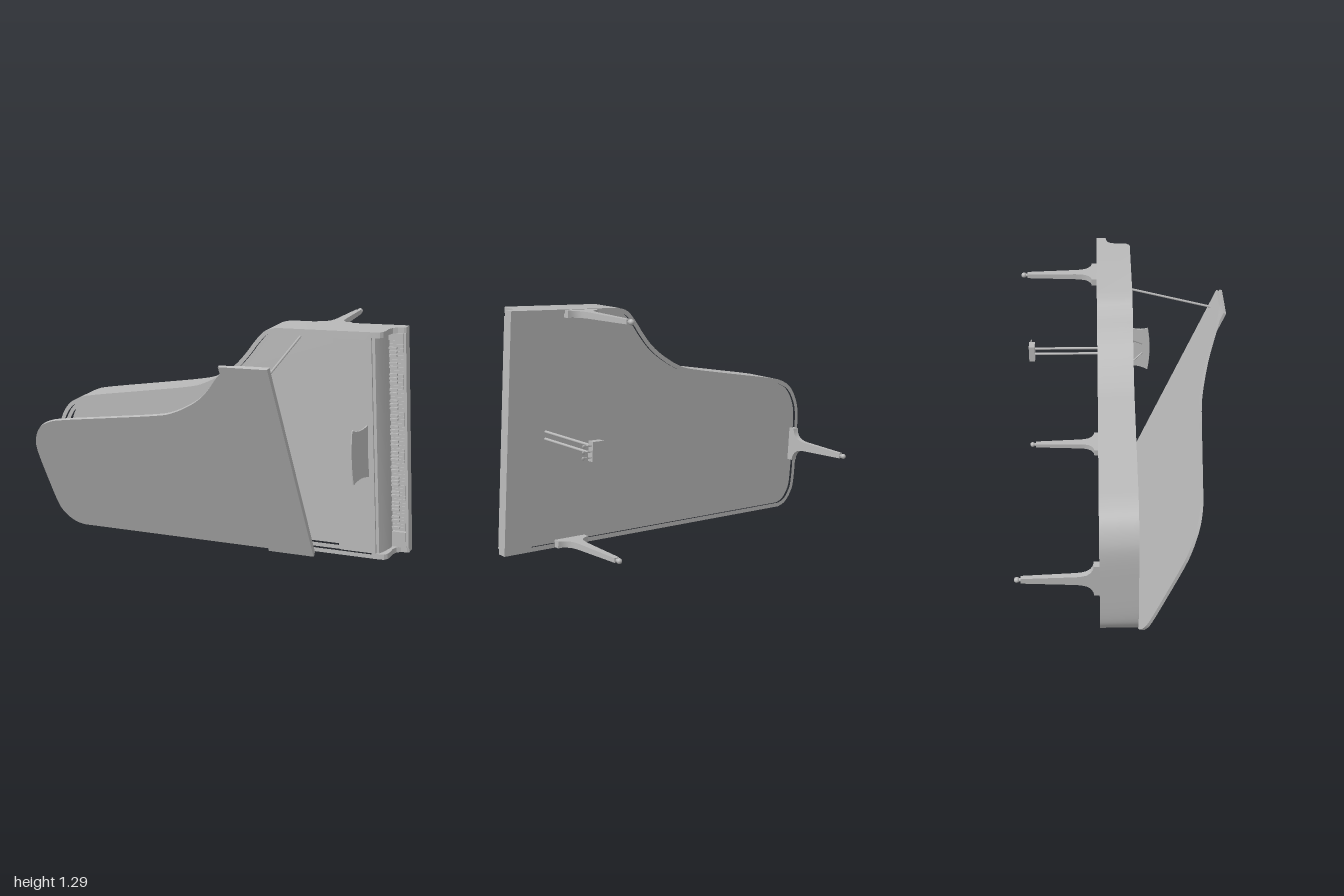
import * as THREE from 'three';
import { toCreasedNormals } from 'three/addons/utils/BufferGeometryUtils.js';

const V2 = (x, y) => new THREE.Vector2(x, y);
const pts = (list) => list.map(([x, y]) => V2(x, y));

// Tail and bent side of the case; x runs to the keyboard, y to the treble side
const TAIL = pts([[-0.85, 0.073], [-0.9, 0.092], [-0.94, 0.14], [-0.962, 0.21], [-0.965, 0.4], [-0.961, 0.59], [-0.938, 0.68],
  [-0.885, 0.756], [-0.813, 0.797], [-0.721, 0.818], [-0.43, 0.859], [-0.146, 0.9], [-0.044, 0.926], [0.06, 0.978],
  [0.143, 1.035], [0.207, 1.1], [0.262, 1.166], [0.315, 1.216], [0.376, 1.234]]);

function outline(uEnd) {
  return [V2(uEnd, 0.073), ...new THREE.SplineCurve(TAIL).getPoints(72), V2(uEnd, 1.234)];
}

// Moves a closed outline inwards by d with mitred corners
function inset(loop, d) {
  const n = loop.length;
  return loop.map((p, i) => {
    const a = p.clone().sub(loop[(i + n - 1) % n]).normalize();
    const b = loop[(i + 1) % n].clone().sub(p).normalize();
    const na = V2(a.y, -a.x), nb = V2(b.y, -b.x);
    const m = na.clone().add(nb).normalize();
    return p.clone().addScaledVector(m, d / Math.max(0.4, m.dot(na)));
  });
}

function slab(loop, z0, z1, hole) {
  const shape = new THREE.Shape(loop);
  if (hole) shape.holes.push(new THREE.Path(hole));
  const g = new THREE.ExtrudeGeometry(shape, { depth: z1 - z0, bevelEnabled: false });
  g.translate(0, 0, z0);
  return toCreasedNormals(g, 0.5);
}

// Side profile (x, z) swept across the width from v0 to v1
function sweep(profile, v0, v1) {
  const g = new THREE.ExtrudeGeometry(new THREE.Shape(pts(profile)), { depth: v1 - v0, bevelEnabled: false });
  g.rotateX(Math.PI / 2).translate(0, v1, 0);
  return toCreasedNormals(g, 0.5);
}

function box(x0, x1, y0, y1, z0, z1) {
  return new THREE.BoxGeometry(x1 - x0, y1 - y0, z1 - z0).translate((x0 + x1) / 2, (y0 + y1) / 2, (z0 + z1) / 2);
}

function rod(a, b, r) {
  const path = new THREE.LineCurve3(new THREE.Vector3(...a), new THREE.Vector3(...b));
  const g = new THREE.CylinderGeometry(r, r, path.getLength(), 10);
  const q = new THREE.Quaternion().setFromUnitVectors(new THREE.Vector3(0, 1, 0), path.getTangent(0));
  const c = path.getPoint(0.5);
  return g.applyQuaternion(q).translate(c.x, c.y, c.z);
}

export function createModel() {
  const grey = new THREE.MeshStandardMaterial({ color: 0xb8b8b8 });
  grey.name = 'grey';
  const model = new THREE.Group();
  model.name = 'grandPiano';
  const piano = new THREE.Group();
  piano.name = 'pianoOnItsSide';
  piano.rotation.z = 0.061;
  model.add(piano);
  const add = (name, geometry, parent = piano) => {
    const mesh = new THREE.Mesh(geometry, grey);
    mesh.name = name;
    parent.add(mesh);
    return mesh;
  };

  // Case: rim, inner ledge, plate, underside and the deck behind the keys
  const rim = outline(0.87);
  add('rim', slab(rim, -0.14, 0.044, inset(rim, 0.022)));
  add('rimLedge', slab(inset(rim, 0.021), -0.06, 0.022, inset(rim, 0.042)));
  add('ironPlate', slab(inset(rim, 0.02), -0.06, -0.05));
  add('underside', slab(inset(rim, 0.02), -0.125, -0.115));
  add('deck', box(0.675, 0.86, 0.09, 1.22, -0.055, 0.018));
  add('deckLip', box(0.66, 0.676, 0.09, 1.22, -0.055, 0.006));

  // Arms at both ends of the keyboard
  const arm = [[0.86, -0.14], [1, -0.14], [1, -0.093], [0.99, -0.086], [0.96, -0.084], [0.94, -0.07], [0.93, -0.04],
    [0.93, 0], [0.925, 0.025], [0.912, 0.04], [0.895, 0.044], [0.86, 0.044]];
  for (const v of [0.073, 1.206]) add('arm', sweep(arm, v, v + 0.028));

  // Keyboard
  add('keyBed', box(0.865, 1, 0.1, 1.207, -0.14, -0.108));
  add('keySlip', box(0.986, 1, 0.1, 1.207, -0.11, -0.085));
  add('fallboard', sweep([[0.865, -0.11], [0.915, -0.11], [0.915, -0.06], [0.9, 0], [0.885, 0.034], [0.865, 0.034]], 0.1, 1.207));
  add('keyBlock', box(0.91, 0.987, 0.1, 0.182, -0.11, -0.078));
  add('keyBlock', box(0.91, 0.987, 1.172, 1.207, -0.11, -0.078));
  const step = 0.985 / 52;
  for (let i = 0; i < 52; i++) {
    const v = 0.185 + i * step;
    add('whiteKey', box(0.91, 0.984, v + 0.0008, v + step - 0.0008, -0.11, -0.088));
    if (i < 51 && [0, 2, 3, 5, 6].includes(i % 7)) {
      add('blackKey', box(0.91, 0.955, v + step - 0.005, v + step + 0.005, -0.09, -0.076));
    }
  }

  // Open lid with its front flap folded back on top
  const lid = new THREE.Group();
  lid.name = 'lid';
  lid.position.set(0, 0.073, 0.042);
  lid.rotation.x = 0.398;
  piano.add(lid);
  const lidLoop = inset(outline(0.53), -0.009);
  add('lidPanel', slab(lidLoop, 0, 0.015).translate(0, -0.073, 0), lid);
  add('lidFlap', box(0.29, 0.541, -0.012, 1.178, 0.0155, 0.03), lid);
  add('propStick', rod([0.494, 1.196, 0], [0.492, 1.07, 0.487], 0.006));

  // Music desk leaning back on two struts
  const deskShape = new THREE.Shape();
  deskShape.moveTo(-0.135, 0);
  deskShape.quadraticCurveTo(0, 0.012, 0.135, 0);
  deskShape.quadraticCurveTo(0.108, 0.07, 0.138, 0.132);
  deskShape.quadraticCurveTo(0, 0.156, -0.138, 0.132);
  deskShape.quadraticCurveTo(-0.108, 0.07, -0.135, 0);
  const desk = add('musicDesk', new THREE.ExtrudeGeometry(deskShape, { depth: 0.007, bevelEnabled: false }));
  const s = Math.sin(0.26), c = Math.cos(0.26);
  desk.applyMatrix4(new THREE.Matrix4()
    .makeBasis(new THREE.Vector3(0, 1, 0), new THREE.Vector3(-s, 0, c), new THREE.Vector3(c, 0, s))
    .setPosition(0.829, 0.63, 0.017));
  for (const side of [-1, 1]) {
    add('deskStrut', rod([0.805, 0.63 + side * 0.03, 0.115], [0.755, 0.63 + side * 0.1, 0.018], 0.004));
  }

  // Legs: flared bracket running into a tapered post with a caster
  const half = [[0.09, -0.135], [0.09, -0.166], [0.068, -0.17], [0.048, -0.182], [0.034, -0.2], [0.027, -0.225], [0.024, -0.25], [0.014, -0.508]];
  const legLoop = pts([...half, ...half.map(([x, y]) => [-x, y]).reverse()]);
  function leg(name, u, v, turn) {
    const g = slab(legLoop, -0.018, 0.018).rotateX(Math.PI / 2);
    const p = g.attributes.position;
    for (let i = 0; i < p.count; i++) {
      const z = p.getZ(i);
      if (z < -0.168) p.setY(i, p.getY(i) * (0.9 - (-z - 0.168) * 0.8));
    }
    const group = new THREE.Group();
    group.name = name;
    group.position.set(u, v, 0);
    group.rotation.z = turn;
    add('legPost', g, group);
    add('casterNeck', rod([0, 0, -0.505], [0, 0, -0.525], 0.008), group);
    add('caster', new THREE.SphereGeometry(0.014, 14, 10).translate(0, 0, -0.526), group);
    piano.add(group);
  }
  leg('bassLeg', 0.617, 0.093, 0);
  leg('trebleLeg', 0.607, 1.214, 0);
  leg('tailLeg', -0.925, 0.432, Math.PI / 2);

  // Pedal lyre
  for (const v of [0.617, 0.652]) add('lyreRod', rod([0.775, v, -0.12], [0.775, v, -0.5], 0.007));
  add('pedalBox', box(0.742, 0.803, 0.588, 0.681, -0.53, -0.497));
  for (const v of [0.607, 0.6345, 0.662]) {
    add('pedal', box(0.8, 0.845, v - 0.003, v + 0.003, -0.523, -0.518));
    add('pedalTip', new THREE.SphereGeometry(0.008, 12, 8).scale(1.3, 1, 0.4).translate(0.846, v, -0.52));
  }
  return model;
}
